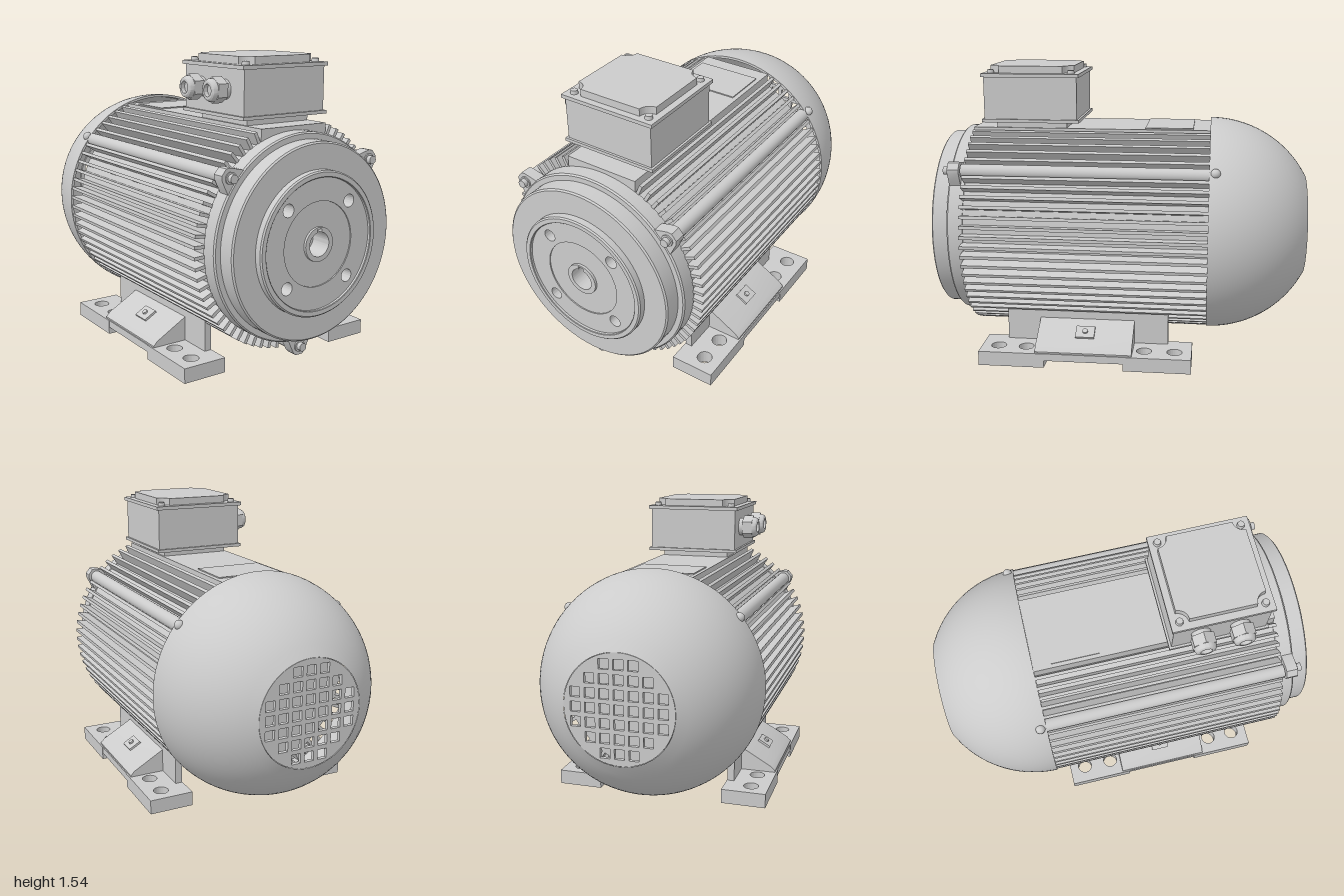
import * as THREE from 'three';
import { mergeGeometries, toCreasedNormals } from 'three/addons/utils/BufferGeometryUtils.js';

const mat = new THREE.MeshStandardMaterial({ color: 0xcccccc });
const AXIS = 0.667; // height of the shaft axis
const TIE_ANGLES = [39, 141, 270].map(THREE.MathUtils.degToRad);
const TIE_R = 0.553;

function add(parent, name, geo, x = 0, y = 0, z = 0) {
  const mesh = new THREE.Mesh(geo, mat);
  mesh.name = name;
  mesh.position.set(x, y, z);
  parent.add(mesh);
  return mesh;
}

// box given by its limits on each axis
function block(parent, name, [x0, x1], [y0, y1], [z0, z1]) {
  return add(parent, name, new THREE.BoxGeometry(Math.abs(x1 - x0), y1 - y0, z1 - z0),
    (x0 + x1) / 2, (y0 + y1) / 2, (z0 + z1) / 2);
}

// lathe around z; points are [radius, z]
function turned(points) {
  const geo = new THREE.LatheGeometry(points.map(p => new THREE.Vector2(...p)), 96);
  return toCreasedNormals(geo.rotateX(Math.PI / 2), 0.5);
}

function poly(points) {
  return new THREE.Shape(points.map(p => new THREE.Vector2(...p)));
}

function rect(x0, y0, x1, y1) {
  return poly([[x0, y0], [x1, y0], [x1, y1], [x0, y1]]);
}

function circle(x, y, r) {
  return new THREE.Shape().absarc(x, y, r, 0, Math.PI * 2);
}

// extrusion along z from z0 to z1
function slab(shape, holes, z0, z1) {
  shape.holes.push(...holes);
  const geo = new THREE.ExtrudeGeometry(shape, { depth: z1 - z0, bevelEnabled: false, curveSegments: 32 });
  return toCreasedNormals(geo.translate(0, 0, z0), 0.5);
}

// extrusion upwards; shape coordinates are (x, -z)
function slabUp(shape, holes, y0, y1) {
  return slab(shape, holes, y0, y1).rotateX(-Math.PI / 2);
}

function rod(r, z0, z1, sides = 24) {
  return new THREE.CylinderGeometry(r, r, z1 - z0, sides).rotateX(Math.PI / 2).translate(0, 0, (z0 + z1) / 2);
}

function buildStator(motor) {
  add(motor, 'statorCore', rod(0.515, -0.48, 0.8, 96));

  // radial cooling fins, leaving room for the top pad and the tie rods
  const fins = [];
  const count = 68;
  for (let i = 0; i < count; i++) {
    const a = ((i + 0.5) / count) * Math.PI * 2;
    if (Math.sin(a) > 0 && Math.abs(Math.cos(a)) * 0.55 < 0.2) continue;
    if (TIE_ANGLES.some(t => Math.abs(a - t) < 0.06)) continue;
    fins.push(new THREE.BoxGeometry(0.075, 0.017, 1.27).translate(0.54, 0, 0.155).rotateZ(a));
  }
  add(motor, 'coolingFins', mergeGeometries(fins));

  // tie rods with lugs and bolts at the front, screws on the cowl
  for (const a of TIE_ANGLES) {
    const tie = new THREE.Group();
    tie.name = 'tieRod';
    tie.rotation.z = a;
    motor.add(tie);
    add(tie, 'rod', rod(0.036, -0.48, 0.8), TIE_R);
    const lug = poly([[0.48, -0.085], [0.535, -0.06], [0.585, -0.036], [0.6, -0.02],
      [0.6, 0.02], [0.585, 0.036], [0.535, 0.06], [0.48, 0.085]]);
    add(tie, 'lug', slab(lug, [], 0.805, 0.865));
    add(tie, 'bolt', rod(0.021, 0.86, 0.895), TIE_R);
    add(tie, 'washer', rod(0.03, 0.86, 0.872), TIE_R);
    const screw = new THREE.SphereGeometry(0.025, 20, 8, 0, Math.PI * 2, 0, Math.PI / 2);
    add(tie, 'cowlScrew', screw.rotateZ(-Math.PI / 2), 0.58, 0, -0.512);
  }
}

function keyedBore() {
  const path = new THREE.Path();
  path.absarc(0, 0, 0.06, Math.PI / 2 + 0.25, Math.PI * 2.5 - 0.25);
  path.lineTo(0.015, 0.075);
  path.lineTo(-0.015, 0.075);
  path.closePath();
  return path;
}

function buildFlange(motor) {
  add(motor, 'endShield', turned([[0, 0.785], [0.522, 0.785], [0.522, 0.862], [0.515, 0.87], [0.488, 0.87],
    [0.488, 0.953], [0.48, 0.96], [0.357, 0.96], [0.357, 0.993], [0.35, 1], [0.328, 1],
    [0.325, 0.997], [0.325, 0.88], [0, 0.88]]));
  const boltHoles = [];
  for (const x of [-0.188, 0.188]) for (const y of [-0.188, 0.188]) boltHoles.push(circle(x, y, 0.032));
  add(motor, 'mountingFace', slab(circle(0, 0, 0.326), [circle(0, 0, 0.21), ...boltHoles], 0.88, 0.985));
  add(motor, 'innerFace', slab(circle(0, 0, 0.21), [keyedBore()], 0.88, 0.979));
  add(motor, 'hub', slab(circle(0, 0, 0.085), [keyedBore()], 0.95, 0.992));
}

function buildCowl(motor) {
  // domed shell: outer skin towards the rim, then back along the inner skin
  const outer = [], inner = [];
  for (let i = 0; i <= 24; i++) {
    const z = -1 + 0.52 * (1 - Math.pow(1 - i / 24, 1.5));
    const r = 0.583 * Math.sqrt(1 - ((z + 0.48) / 0.59) ** 2);
    outer.push([r, z]);
    inner.unshift([r - 0.014, z]);
  }
  add(motor, 'fanCowl', turned([...outer, ...inner]));

  const holes = [];
  const pitch = 0.072, half = 0.025;
  for (let i = -3; i <= 3; i++) {
    for (let j = -3; j <= 3; j++) {
      const x = i * pitch, y = j * pitch;
      if (Math.hypot(Math.abs(x) + half, Math.abs(y) + half) > 0.268) continue;
      holes.push(rect(x - half, y - half, x + half, y + half));
    }
  }
  add(motor, 'fanGrille', slab(circle(0, 0, 0.274), holes, -1, -0.98));
}

function buildTerminalBox(root) {
  const box = new THREE.Group();
  box.name = 'terminalBox';
  root.add(box);
  block(box, 'topPad', [-0.2, 0.2], [1.08, 1.21], [-0.48, 0.79]);
  block(box, 'ratingPlate', [-0.18, 0.175], [1.205, 1.216], [-0.39, -0.135]);
  block(box, 'neck', [-0.19, 0.19], [1.2, 1.25], [0.285, 0.665]);
  block(box, 'lowerRim', [-0.26, 0.258], [1.245, 1.262], [0.21, 0.73]);
  block(box, 'housing', [-0.248, 0.246], [1.25, 1.49], [0.222, 0.718]);
  block(box, 'upperRim', [-0.262, 0.26], [1.483, 1.502], [0.21, 0.73]);

  // raised lid with rounded cut-outs at its corners
  const h = 0.225, c = 0.055;
  const lid = new THREE.Shape();
  lid.moveTo(h, h - c);
  for (const [sx, sy, a] of [[1, 1, -90], [-1, 1, 0], [-1, -1, 90], [1, -1, 180]]) {
    const start = THREE.MathUtils.degToRad(a);
    lid.absarc(sx * h, sy * h, c, start, start - Math.PI / 2, true);
  }
  lid.closePath();
  add(box, 'lid', slabUp(lid, [], 1.5, 1.54), 0, 0, 0.47);
  for (const x of [-0.217, 0.215]) {
    for (const z of [0.255, 0.685]) {
      add(box, 'lidScrew', new THREE.CylinderGeometry(0.017, 0.02, 0.02, 20), x, 1.51, z);
    }
  }

  // cable glands: hexagon nut, rounded cap with an opening
  for (const z of [0.365, 0.565]) {
    const gland = new THREE.Group();
    gland.name = 'cableGland';
    gland.position.set(-0.245, 1.38, z);
    gland.rotation.y = -Math.PI / 2;
    box.add(gland);
    add(gland, 'collar', rod(0.05, 0, 0.03));
    add(gland, 'nut', toCreasedNormals(rod(0.065, 0.025, 0.08, 6), 0.3));
    add(gland, 'cap', turned([[0.056, 0.078], [0.056, 0.09], [0.05, 0.102], [0.042, 0.107],
      [0.03, 0.107], [0.03, 0.085], [0, 0.085]]));
  }
}

function buildFoot(root, s) {
  const foot = new THREE.Group();
  foot.name = s > 0 ? 'leftFoot' : 'rightFoot';
  root.add(foot);
  // two pads with bolt holes, joined by a raised bridge
  for (const [z0, z1, holes] of [[0.36, 0.71, [0.62, 0.47]], [-0.41, -0.055, [-0.16, -0.32]]]) {
    const pad = rect(s > 0 ? 0.342 : -0.58, -z1, s > 0 ? 0.58 : -0.342, -z0);
    add(foot, 'pad', slabUp(pad, holes.map(z => circle(s * 0.485, -z, 0.04)), 0, 0.077));
  }
  block(foot, 'bridge', [s * 0.342, s * 0.578], [0.038, 0.077], [-0.06, 0.365]);
  block(foot, 'web', [s * 0.345, s * 0.382], [0.07, 0.26], [-0.28, 0.59]);
  const ramp = [[0.37, 0.07], [0.572, 0.07], [0.572, 0.085], [0.55, 0.108], [0.38, 0.205], [0.37, 0.205]];
  add(foot, 'ramp', slab(poly(ramp.map(([x, y]) => [s * x, y])), [], -0.1, 0.41));
  // small raised terminal on the sloping face
  const tab = add(foot, 'earthTab', new THREE.BoxGeometry(0.075, 0.02, 0.1), s * 0.465, 0.158, 0.155);
  tab.rotation.z = -s * 0.52;
  add(tab, 'earthScrew', new THREE.CylinderGeometry(0.014, 0.014, 0.012, 16), 0, 0.014, 0);
}

export function createModel() {
  const root = new THREE.Group();
  root.name = 'electricMotor';
  const motor = new THREE.Group();
  motor.name = 'motorBody';
  motor.position.y = AXIS;
  root.add(motor);
  buildStator(motor);
  buildFlange(motor);
  buildCowl(motor);
  buildTerminalBox(root);
  for (const side of [1, -1]) buildFoot(root, side);
  return root;
}
